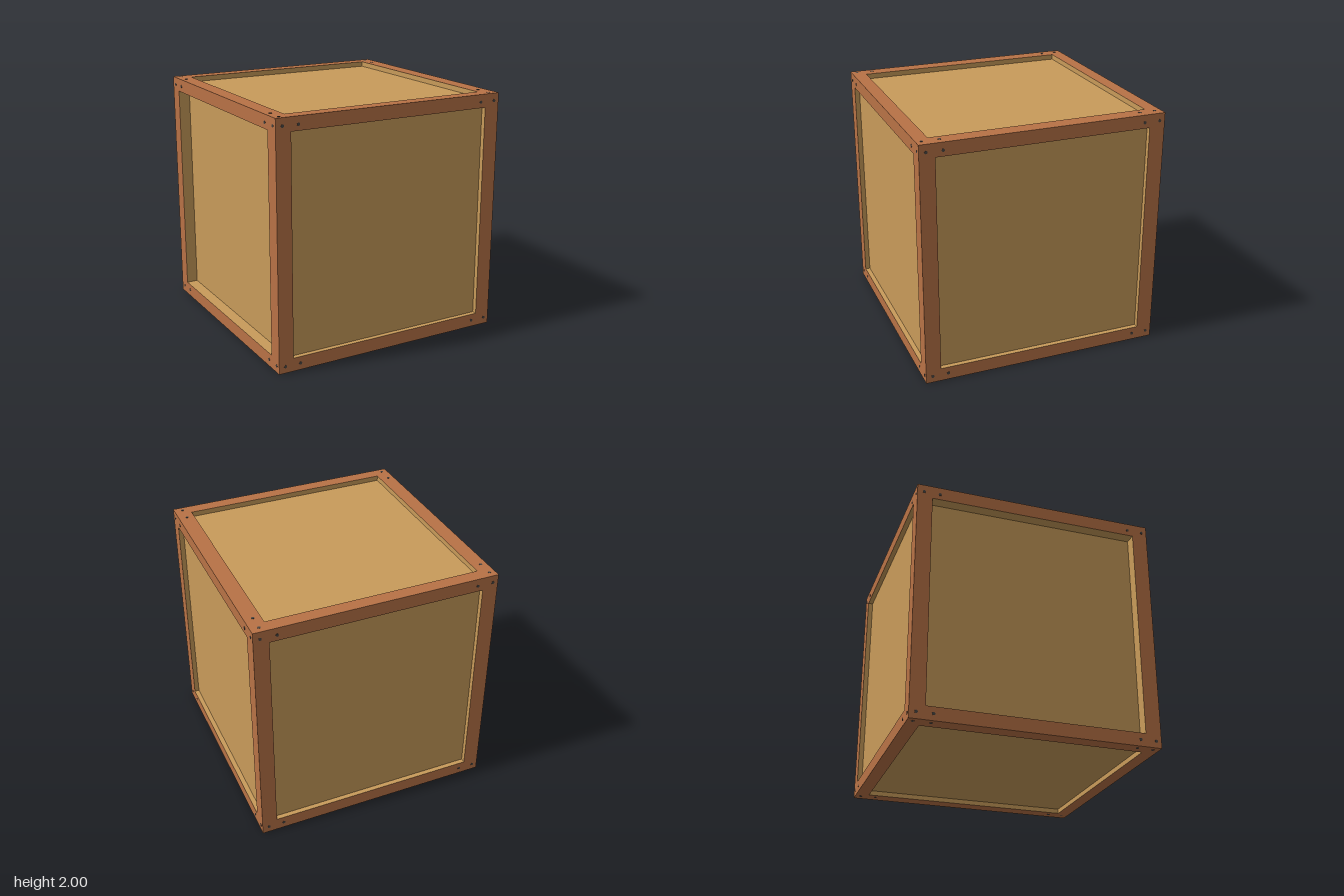
import * as THREE from 'three';

const frameMat = new THREE.MeshStandardMaterial({ color: 0xb87246 });
frameMat.name = 'frame wood';
const panelMat = new THREE.MeshStandardMaterial({ color: 0xc89b5a });
panelMat.name = 'panel wood';
const nailMat = new THREE.MeshStandardMaterial({ color: 0x4a4642 });
nailMat.name = 'nail iron';

// Opening of every side, in side coordinates
const L = -0.875, R = 0.87, B = -0.89, T = 0.89;

function add(parent, name, geometry, material) {
  const mesh = new THREE.Mesh(geometry, material);
  mesh.name = name;
  parent.add(mesh);
  return mesh;
}

function rectangle(path, x0, y0, x1, y1) {
  return path.moveTo(x0, y0).lineTo(x1, y0).lineTo(x1, y1).lineTo(x0, y1).closePath();
}

// Flat border around the opening
function borderGeometry() {
  const shape = rectangle(new THREE.Shape(), -1, -1, 1, 1);
  shape.holes.push(rectangle(new THREE.Path(), L, B, R, T));
  return new THREE.ShapeGeometry(shape);
}

// Inside of a shallow open tray: four rebate walls and the panel
function recessGeometry(depth) {
  const geo = new THREE.BoxGeometry(R - L, T - B, depth);
  const kept = Array.from(geo.index.array).filter((_, i) => i < 24 || i >= 30);
  for (let i = 0; i < kept.length; i += 3) {
    [kept[i + 1], kept[i + 2]] = [kept[i + 2], kept[i + 1]];
  }
  geo.setIndex(kept);
  geo.clearGroups();
  geo.computeVertexNormals();
  return geo.translate((L + R) / 2, (B + T) / 2, -depth / 2);
}

// One crate side facing +z, with its face at z = 1
function crateSide(name, depth, nailU, nailV) {
  const side = new THREE.Group();
  side.name = name;
  add(side, 'frameBorder', borderGeometry(), frameMat).position.z = 1;
  add(side, 'recessedPanel', recessGeometry(depth), panelMat).position.z = 1;
  const nailGeo = new THREE.CylinderGeometry(0.013, 0.013, 0.004, 8).rotateX(Math.PI / 2);
  for (const u of nailU) {
    for (const v of nailV) add(side, 'nail', nailGeo, nailMat).position.set(u, v, 1);
  }
  return side;
}

export function createModel() {
  const model = new THREE.Group();
  model.name = 'woodenCrate';
  const box = new THREE.Group();
  box.name = 'crate';
  box.position.y = 1;
  model.add(box);

  // Four upright sides, turned about the vertical axis
  const across = [-0.945, -0.815, 0.825, 0.955];
  const rails = [-0.945, 0.938];
  const sides = [['frontSide', 0.04], ['leftSide', 0.04], ['backSide', 0.04], ['rightSide', 0.095]];
  sides.forEach(([name, depth], i) => {
    const side = crateSide(name, depth, across, rails);
    side.rotation.y = i * Math.PI / 2;
    box.add(side);
  });

  // Lid and base have their nails along the other two rails
  const lid = crateSide('lid', 0.043, [-0.95, 0.93], [0.945, 0.815, -0.82, -0.955]);
  lid.rotation.x = -Math.PI / 2;
  const base = crateSide('base', 0.04, [-0.95, 0.93], [0.945, 0.815, -0.82, -0.955]);
  base.rotation.x = Math.PI / 2;
  box.add(lid, base);
  return model;
}
